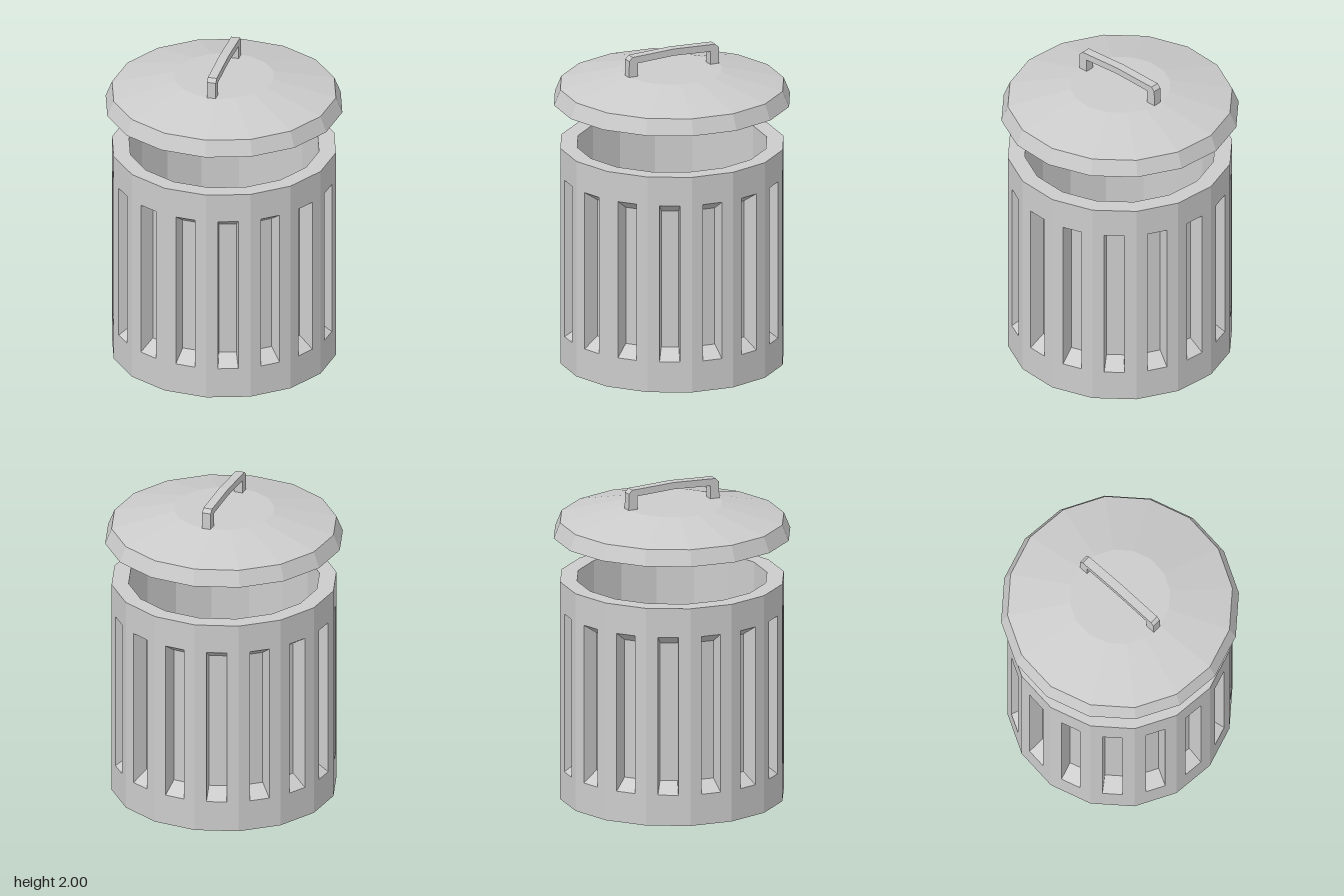
import * as THREE from 'three';

const SIDES = 16;
const STEP = (Math.PI * 2) / SIDES;
const R_OUT = 0.695, R_PANEL = 0.595, R_IN = 0.59, HEIGHT = 1.39;

const material = new THREE.MeshStandardMaterial({ color: 0xcccccc, flatShading: true });

function addMesh(parent, name, geometry) {
  const mesh = new THREE.Mesh(geometry, material);
  mesh.name = name;
  parent.add(mesh);
  return mesh;
}

// Faceted surface of revolution from [radius, height] pairs
function lathe(profile) {
  return new THREE.LatheGeometry(profile.map(([r, y]) => new THREE.Vector2(r, y)), SIDES);
}

// Outer wall: every facet carries one slot that narrows towards the axis
function slottedWall() {
  const positions = [];
  const quad = (a, b, c, d) => positions.push(...a, ...b, ...c, ...a, ...c, ...d);

  for (let i = 0; i < SIDES; i++) {
    const a0 = i * STEP, a1 = a0 + STEP;
    // Point on the facet, t runs from -1 to 1 across it
    const point = (t, r, y) => {
      const k = (t + 1) / 2;
      return [
        r * THREE.MathUtils.lerp(Math.sin(a0), Math.sin(a1), k),
        y,
        r * THREE.MathUtils.lerp(Math.cos(a0), Math.cos(a1), k),
      ];
    };
    const loop = (t, r, low, high) =>
      [point(-t, r, low), point(t, r, low), point(t, r, high), point(-t, r, high)];

    const loops = [
      loop(1, R_OUT, 0, HEIGHT),          // facet border
      loop(0.46, R_OUT, 0.195, 1.205),    // slot mouth
      loop(0.46, R_PANEL, 0.26, 1.14),    // slot back
    ];
    for (let n = 0; n < 2; n++) {
      for (let j = 0; j < 4; j++) {
        const m = (j + 1) % 4;
        quad(loops[n][j], loops[n][m], loops[n + 1][m], loops[n + 1][j]);
      }
    }
    quad(...loops[2]);
  }

  const geometry = new THREE.BufferGeometry();
  geometry.setAttribute('position', new THREE.Float32BufferAttribute(positions, 3));
  geometry.computeVertexNormals();
  return geometry;
}

// Slightly arched grip with two short legs
function handleGeometry() {
  const outline = [
    [-0.31, 1.85], [-0.25, 1.85], [-0.25, 1.945], [0, 1.957], [0.25, 1.945], [0.25, 1.85],
    [0.31, 1.85], [0.308, 1.965], [0.285, 1.988], [0, 2], [-0.285, 1.988], [-0.308, 1.965],
  ];
  const shape = new THREE.Shape(outline.map(([x, y]) => new THREE.Vector2(x, y)));
  const width = 0.056;
  const geometry = new THREE.ExtrudeGeometry(shape, { depth: width, bevelEnabled: false });
  return geometry.translate(0, 0, -width / 2);
}

export function createModel() {
  const model = new THREE.Group();
  model.name = 'trashCan';

  const body = new THREE.Group();
  body.name = 'body';
  addMesh(body, 'slottedWall', slottedWall());
  addMesh(body, 'base', lathe([[0, 0], [R_OUT, 0]]));
  addMesh(body, 'rimAndInside', lathe([[R_OUT, HEIGHT], [R_IN, HEIGHT], [R_IN, 0.15], [0, 0.15]]));

  // Raised lid: hollow underside, flared skirt, shallow cone and flat top
  const lid = new THREE.Group();
  lid.name = 'lid';
  addMesh(lid, 'cover', lathe([
    [0, 1.83], [0.3, 1.83], [0.665, 1.745], [0.7, 1.67],
    [0.735, 1.67], [0.695, 1.768], [0.31, 1.862], [0, 1.862],
  ]));
  addMesh(lid, 'handle', handleGeometry()).rotation.y = THREE.MathUtils.degToRad(62);

  model.add(body, lid);
  return model;
}
